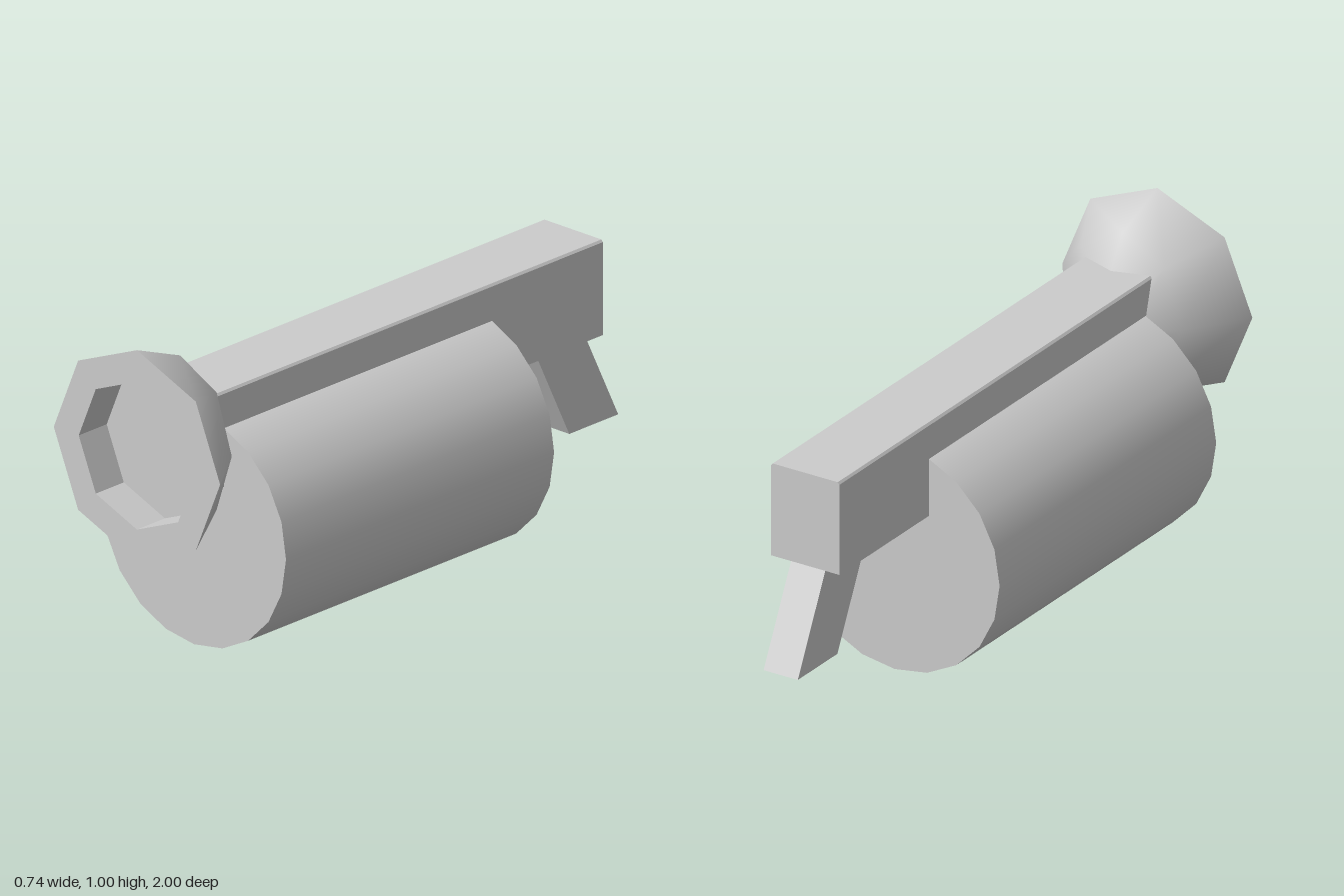
import * as THREE from 'three';
import { mergeVertices } from 'three/addons/utils/BufferGeometryUtils.js';

const HORN_Y = 0.667;

export function createModel() {
  const model = new THREE.Group();
  const grey = new THREE.MeshStandardMaterial({ color: 0xcccccc });
  const flatGrey = new THREE.MeshStandardMaterial({ color: 0xcccccc, flatShading: true });

  const add = (name, geometry, material, parent = model) => {
    const mesh = new THREE.Mesh(geometry, material);
    mesh.name = name;
    parent.add(mesh);
    return mesh;
  };

  // Extrudes a list of [x, y] corners by depth, starting at z = 0
  const prism = (corners, depth) => new THREE.ExtrudeGeometry(
    new THREE.Shape(corners.map(([x, y]) => new THREE.Vector2(x, y))),
    { depth, bevelEnabled: false });

  // Main barrel, 20 sides, lying along z
  const barrel = new THREE.CylinderGeometry(0.368, 0.368, 1.15, 20);
  barrel.rotateX(Math.PI / 2);
  add('barrel', barrel, grey).position.set(0, 0.368, 0.18);

  // Top rail with narrow chamfers along its upper edges
  const rail = prism([
    [-0.12, 0.53], [0.12, 0.53], [0.12, 0.823],
    [0.114, 0.83], [-0.114, 0.83], [-0.12, 0.823],
  ], 1.69);
  add('rail', rail, flatGrey).position.z = -0.87;

  // Slanted handle, drawn in (-z, y) and turned to face sideways
  const handle = prism([[0.615, 0.58], [0.79, 0.225], [1.0, 0.225], [0.825, 0.58]], 0.12);
  handle.translate(0, 0, -0.06);
  handle.rotateY(Math.PI / 2);
  add('handle', handle, flatGrey);

  // Horn with an octagonal, slightly narrowed shell
  const horn = new THREE.Group();
  horn.name = 'horn';
  horn.position.y = HORN_Y;
  model.add(horn);

  const profile = [[0, 0.72], [0.11, 0.72], [0.262, 0.815], [0.333, 1]]
    .map(([r, z]) => new THREE.Vector2(r, z));
  let shell = new THREE.LatheGeometry(profile, 8);
  shell.rotateX(Math.PI / 2);
  const pos = shell.attributes.position;
  for (let i = 0; i < pos.count; i++) {
    if (pos.getZ(i) < 0.99) pos.setX(i, pos.getX(i) * 0.79);
  }
  shell.deleteAttribute('normal');
  shell.deleteAttribute('uv');
  shell = mergeVertices(shell);
  shell.computeVertexNormals();
  add('hornShell', shell, grey, horn);

  // Front rim, recess wall and recess floor
  add('hornRim', new THREE.RingGeometry(0.233, 0.333, 8), grey, horn).position.z = 1;
  const wall = new THREE.LatheGeometry(
    [new THREE.Vector2(0.233, 1), new THREE.Vector2(0.233, 0.88)], 8);
  wall.rotateX(Math.PI / 2);
  add('recessWall', wall, flatGrey, horn);
  add('recessFloor', new THREE.CircleGeometry(0.233, 8), grey, horn).position.z = 0.88;

  return model;
}
